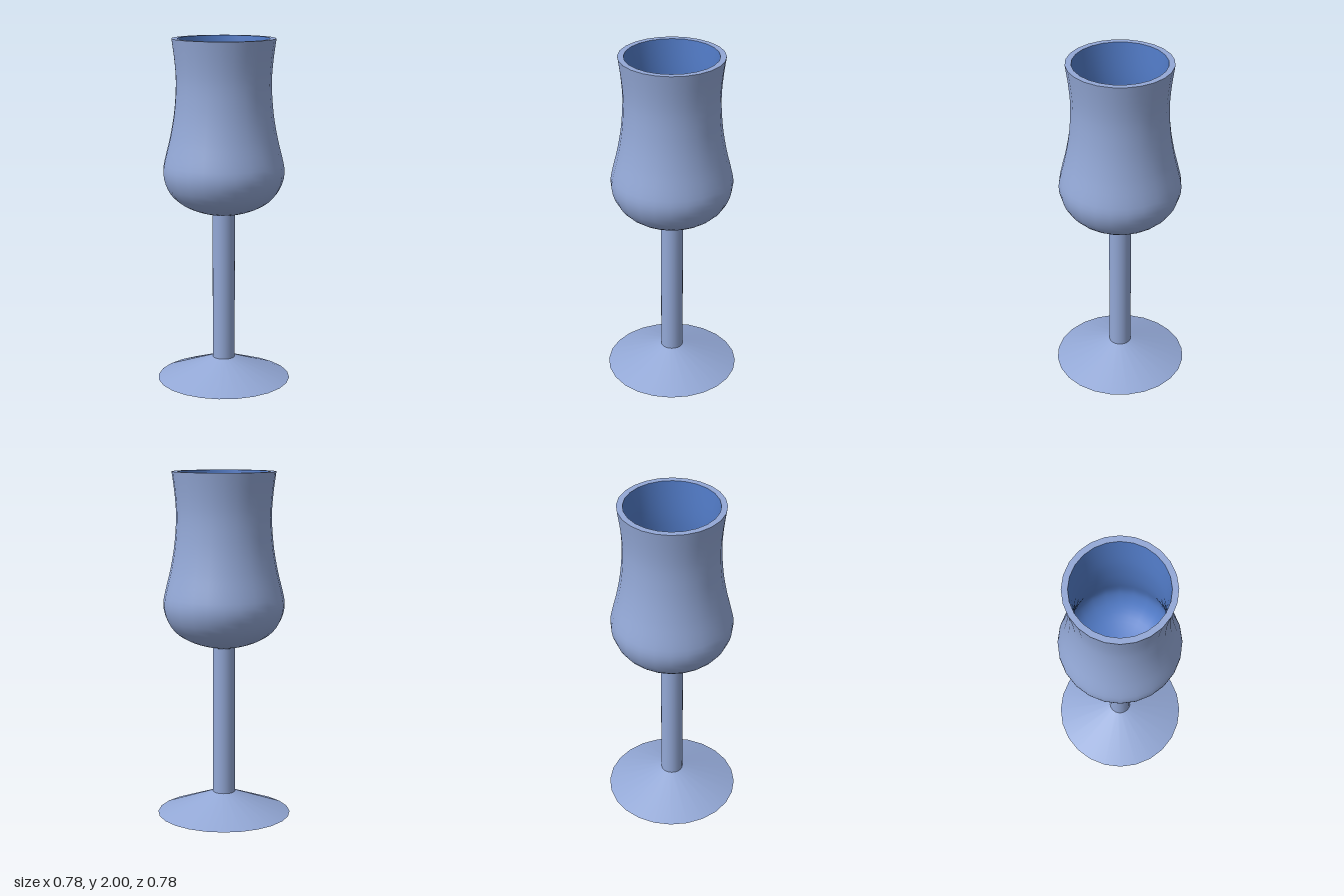
import * as THREE from 'three';

const SIDES = 24;
const v = (p) => new THREE.Vector2(p[0], p[1]);

// Smooth profile through a few [radius, height] points
const smooth = (pts, n) => new THREE.SplineCurve(pts.map(v)).getPoints(n);

export function createModel() {
  const group = new THREE.Group();
  const outerGlass = new THREE.MeshStandardMaterial({ color: 0x93a8d6 });
  outerGlass.name = 'paleBlue';
  const innerGlass = new THREE.MeshStandardMaterial({ color: 0x5079c4 });
  innerGlass.name = 'deepBlue';

  // Each turned section is its own lathe so the edges between them stay sharp
  const turn = (name, points, material) => {
    const mesh = new THREE.Mesh(new THREE.LatheGeometry(points, SIDES), material);
    mesh.name = name;
    group.add(mesh);
  };

  // Foot and stem
  turn('footUnderside', [[0, 0], [0.39, 0]].map(v), outerGlass);
  turn('footTop', [[0.39, 0], [0.065, 0.125]].map(v), outerGlass);
  turn('stem', [[0.065, 0.125], [0.065, 0.99]].map(v), outerGlass);

  // Bowl: outer wall upwards, flat rim, inner wall back down to the floor
  turn('bowlOutside', smooth([
    [0.065, 0.99], [0.16, 1.015], [0.245, 1.055], [0.305, 1.11], [0.34, 1.18], [0.35, 1.25],
    [0.335, 1.33], [0.308, 1.44], [0.284, 1.58], [0.273, 1.74], [0.28, 1.87], [0.297, 2],
  ], 28), outerGlass);
  turn('rim', [[0.297, 2], [0.263, 2]].map(v), outerGlass);
  turn('bowlInside', smooth([
    [0.263, 2], [0.247, 1.87], [0.24, 1.74], [0.251, 1.58], [0.275, 1.44], [0.302, 1.33],
    [0.315, 1.25], [0.306, 1.19], [0.278, 1.135], [0.225, 1.085], [0.15, 1.05], [0.055, 1.025],
  ], 28), innerGlass);
  turn('bowlFloor', [[0.055, 1.025], [0, 1.025]].map(v), innerGlass);

  return group;
}
